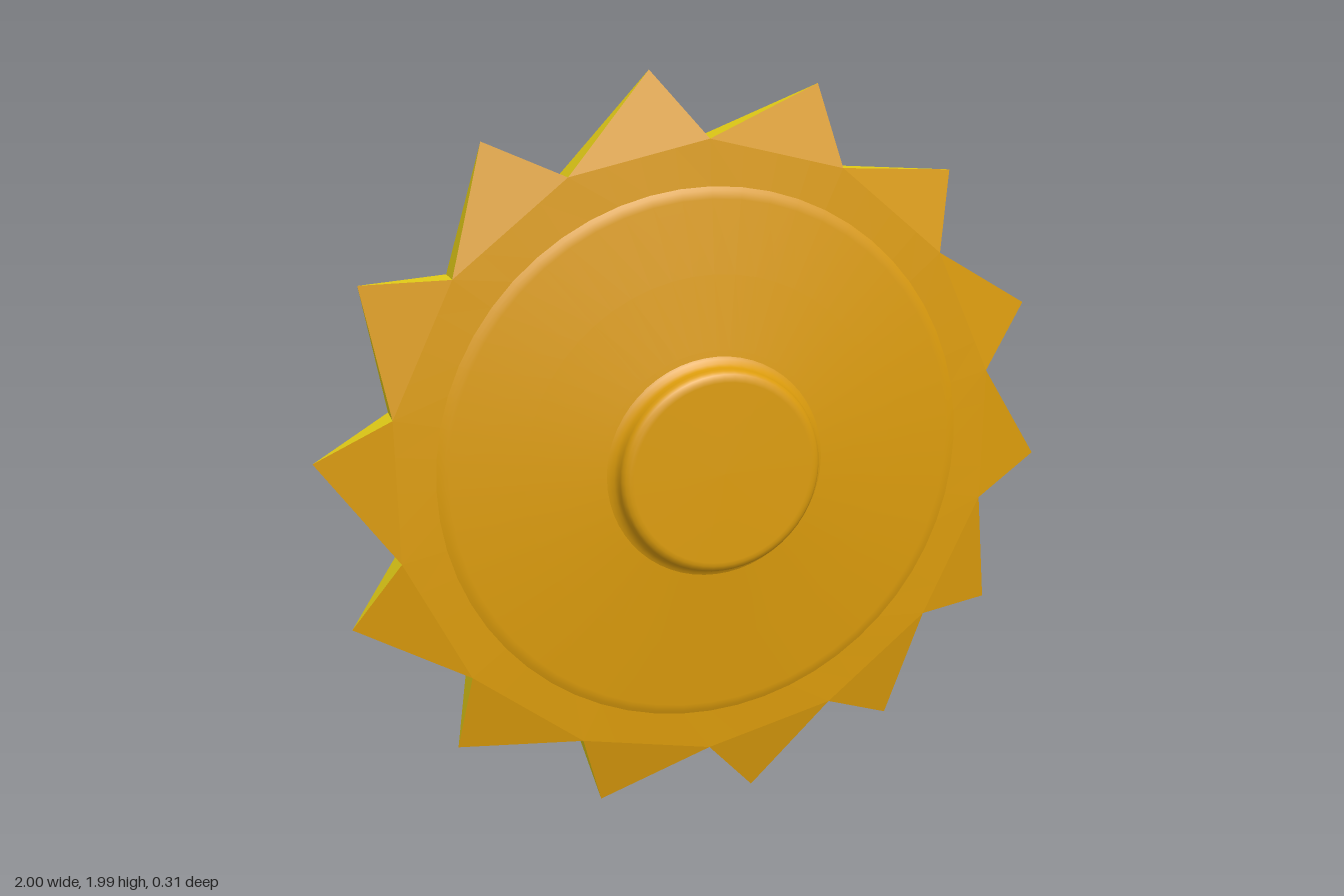
import * as THREE from 'three';

const TEETH = 14;
const STEP = (Math.PI * 2) / TEETH;
const VALLEY_R = 0.83, VALLEY_Z = 0.043;
const TIP_R = 1.004, TIP_LEAD = 0.142; // tips lean away from the tooth middle
const DISC_R = 0.715, DISC_Z = 0.049;

const polar = (r, a, z) => new THREE.Vector3(r * Math.cos(a), r * Math.sin(a), z);

function trianglesToGeometry(points) {
  const g = new THREE.BufferGeometry().setFromPoints(points);
  g.computeVertexNormals();
  return g;
}

// Smooth surface of revolution facing +z
function turned(points, segments) {
  const g = new THREE.LatheGeometry(points.map(([r, z]) => new THREE.Vector2(r, z)), segments);
  g.rotateX(Math.PI / 2);
  return g;
}

export function createModel() {
  const amber = new THREE.MeshStandardMaterial({ color: 0xdc9c0c });
  amber.name = 'amber body';
  const yellow = new THREE.MeshStandardMaterial({ color: 0xe0ca16 });
  yellow.name = 'yellow cutting edge';

  const group = new THREE.Group();
  const blade = new THREE.Group();
  blade.name = 'sawBlade';
  blade.position.y = 1;
  group.add(blade);
  const add = (name, geometry, material, parent = blade) => {
    const mesh = new THREE.Mesh(geometry, material);
    mesh.name = name;
    parent.add(mesh);
  };

  // Tapered disc and rounded hub, the same on both sides
  const discGeo = turned([
    [DISC_R, DISC_Z], [0.705, 0.053], [0.695, 0.056], [0.685, 0.0575], [0.5, 0.0755], [0.31, 0.094], [0.25, 0.1],
  ], 56);
  const hubGeo = turned([
    [0.298, 0.094], [0.288, 0.098], [0.278, 0.106], [0.271, 0.116], [0.27, 0.132],
    [0.267, 0.142], [0.26, 0.15], [0.25, 0.154], [0.24, 0.155], [0, 0.156],
  ], 56);
  for (const side of ['front', 'back']) {
    const half = new THREE.Group();
    half.name = side + 'Half';
    if (side === 'back') half.rotation.y = Math.PI;
    add(side + 'Disc', discGeo, amber, half);
    add(side + 'Hub', hubGeo, amber, half);
    blade.add(half);
  }

  // Toothed rim: each face is made for the front and mirrored for the back
  const faces = [], edges = [];
  const flip = (p) => new THREE.Vector3(p.x, p.y, -p.z);
  const face = (a, b, c) => faces.push(a, b, c, flip(a), flip(c), flip(b));
  const SUB = 4;
  for (let i = 0; i < TEETH; i++) {
    const a0 = Math.PI / 2 + i * STEP, a1 = a0 + STEP;
    const v0 = polar(VALLEY_R, a0, VALLEY_Z), v1 = polar(VALLEY_R, a1, VALLEY_Z);
    const tip = polar(TIP_R, a0 + TIP_LEAD, 0);
    // Web between the round disc and the tooth root
    for (let s = 0; s < SUB; s++) {
      const t0 = s / SUB, t1 = (s + 1) / SUB;
      const in0 = polar(DISC_R, a0 + STEP * t0, DISC_Z), in1 = polar(DISC_R, a0 + STEP * t1, DISC_Z);
      const out0 = v0.clone().lerp(v1, t0), out1 = v0.clone().lerp(v1, t1);
      face(in0, out0, out1);
      face(in0, out1, in1);
    }
    // Pointed tooth and its two flanks
    face(v0, tip, v1);
    edges.push(v0, flip(v0), tip, v1, tip, flip(v1));
  }
  add('toothFaces', trianglesToGeometry(faces), amber);
  add('toothFlanks', trianglesToGeometry(edges), yellow);

  return group;
}
